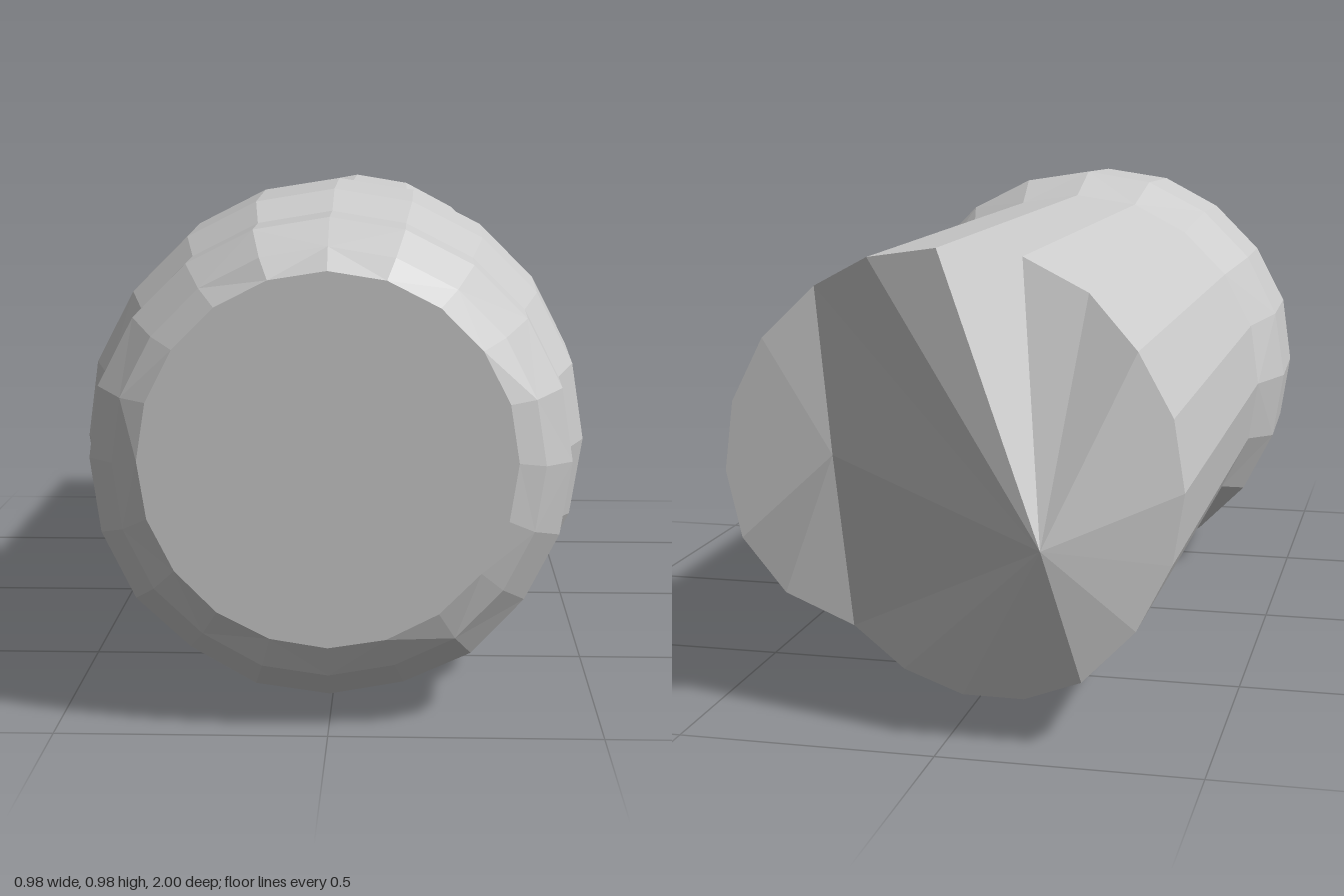
import * as THREE from 'three';

const SIDES = 20;
const material = new THREE.MeshStandardMaterial({ color: 0xcccccc, flatShading: true });

// One cross-section around the long axis; z may be a number or one value per corner
function ring(z, r, cy = 0.49, wobble = 0) {
  return Array.from({ length: SIDES }, (_, i) => {
    const a = (i / SIDES) * Math.PI * 2;
    const zi = Array.isArray(z) ? z[i] : z + wobble * Math.sin(i * 2.3);
    return [r * Math.cos(a), cy + r * Math.sin(a), zi];
  });
}

// Wall between successive rings, ordered front to back
function wall(rings) {
  const out = [];
  for (let k = 0; k < rings.length - 1; k++) {
    for (let i = 0; i < SIDES; i++) {
      const j = (i + 1) % SIDES;
      const [a, b, c, d] = [rings[k][i], rings[k][j], rings[k + 1][i], rings[k + 1][j]];
      if ((i + k) % 2) out.push(a, c, b, b, c, d);
      else out.push(a, c, d, a, d, b);
    }
  }
  return out;
}

function mesh(name, corners) {
  const g = new THREE.BufferGeometry();
  g.setAttribute('position', new THREE.Float32BufferAttribute(corners.flat(), 3));
  g.computeVertexNormals();
  const m = new THREE.Mesh(g, material);
  m.name = name;
  return m;
}

export function createModel() {
  const group = new THREE.Group();
  group.name = 'brokenRod';

  // Blunt front: flat face and bevel
  const face = ring(1, 0.34, 0.505);
  const bevel = ring(0.97, 0.39, 0.495, 0.008);
  const shoulder = ring(0.9, 0.442, 0.49, 0.012);
  const faceTriangles = [];
  face.forEach((p, i) => faceTriangles.push([0, 0.505, 1], p, face[(i + 1) % SIDES]));
  group.add(mesh('frontFace', faceTriangles));
  group.add(mesh('frontBevel', wall([face, bevel, shoulder])));

  // Swollen collar
  const collarEnd = ring(0.275, 0.442, 0.49, 0.01);
  group.add(mesh('collar', wall([
    shoulder, ring(0.77, 0.445, 0.49, 0.012), ring(0.67, 0.481, 0.49, 0.012),
    ring(0.4, 0.49), collarEnd,
  ])));

  // Straight shaft, ending in a ragged rim
  const rim = ring([
    -0.88, -0.89, -0.89, -0.87, -0.93, -0.95, -0.86, -0.86, -0.9, -0.88,
    -0.88, -0.88, -0.9, -0.92, -0.86, -0.8, -0.74, -0.68, -0.8, -0.86,
  ], 0.44);
  group.add(mesh('shaft', wall([collarEnd, rim])));

  // Broken end: a raised peak beside a shallow valley
  const peak = [-0.2, 0.4, -1];
  const valley = [0.24, 0.52, -0.84];
  const valleyTop = 3, valleyBottom = 17;
  const broken = [];
  for (let i = 0; i < SIDES; i++) {
    const hub = i >= valleyTop && i < valleyBottom ? peak : valley;
    broken.push(hub, rim[(i + 1) % SIDES], rim[i]);
  }
  broken.push(peak, rim[valleyTop], valley, peak, valley, rim[valleyBottom]);
  group.add(mesh('brokenEnd', broken));

  return group;
}
